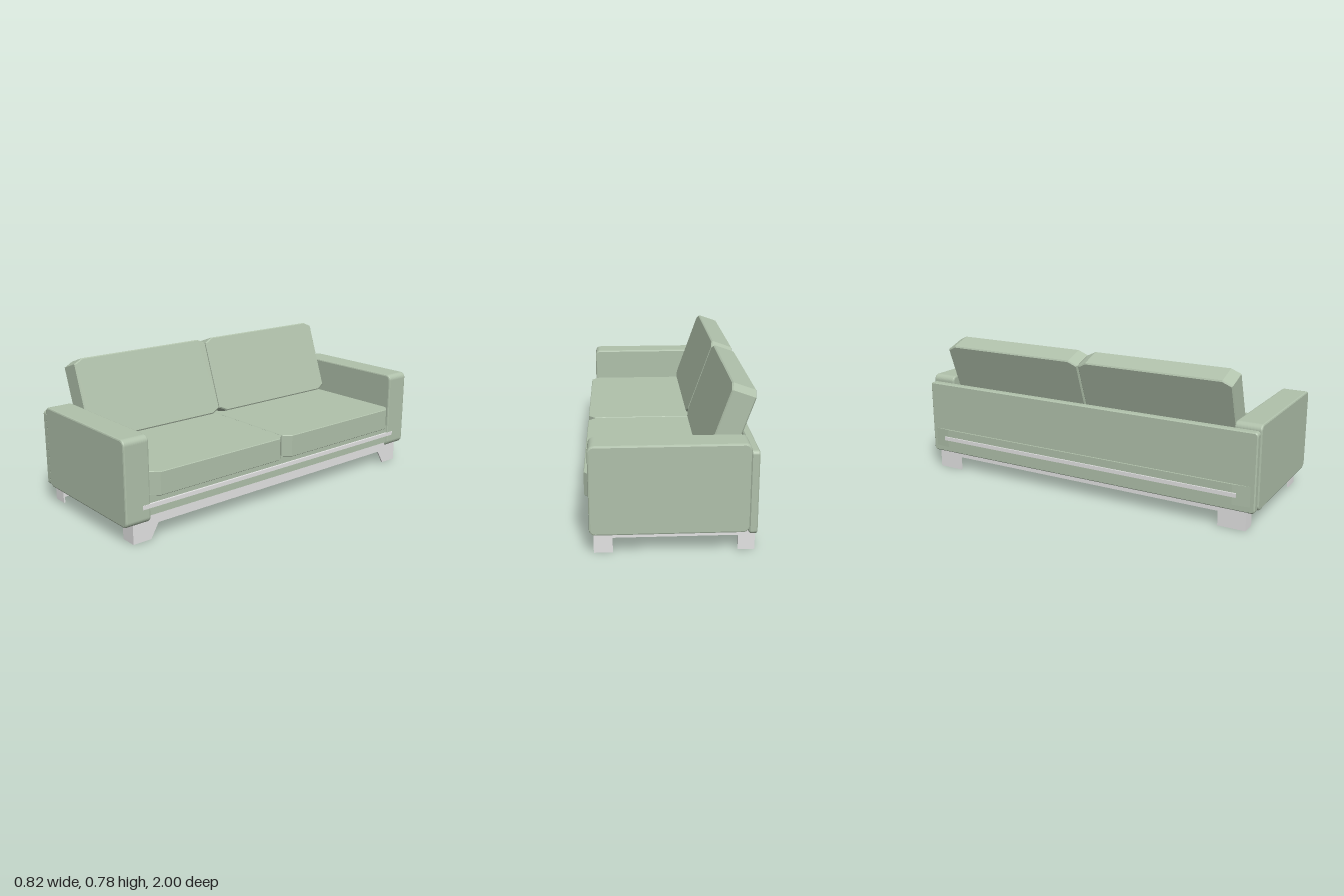
import * as THREE from 'three';

export function createModel() {
  const sofa = new THREE.Group();
  sofa.name = 'sofa';
  const fabric = new THREE.MeshStandardMaterial({ color: 0xb0c1ab });
  fabric.name = 'sage fabric';
  const metal = new THREE.MeshStandardMaterial({ color: 0xe4e4e4 });
  metal.name = 'light grey metal';

  const add = (name, geometry, material, parent = sofa) => {
    const mesh = new THREE.Mesh(geometry, material);
    mesh.name = name;
    parent.add(mesh);
    return mesh;
  };

  // Box given by its minimum and maximum on each axis
  const box = (name, material, [x0, x1], [y0, y1], [z0, z1]) => {
    const mesh = add(name, new THREE.BoxGeometry(x1 - x0, y1 - y0, z1 - z0), material);
    mesh.position.set((x0 + x1) / 2, (y0 + y1) / 2, (z0 + z1) / 2);
    return mesh;
  };

  const polygon = (points) => new THREE.Shape(points.map(([x, y]) => new THREE.Vector2(x, y)));

  // Slab centred on its own origin, thickness along z, with bevelled rims
  const slab = (shape, thickness, bevel, segments = 1) => {
    const geometry = new THREE.ExtrudeGeometry(shape, {
      depth: thickness - 2 * bevel, bevelEnabled: bevel > 0, bevelSize: bevel, bevelThickness: bevel,
      bevelOffset: -bevel, bevelSegments: segments, curveSegments: 5,
    });
    return geometry.translate(0, 0, -thickness / 2 + bevel);
  };

  const roundedRect = (w, h, r) => {
    const s = new THREE.Shape();
    const x = w / 2, y = h / 2;
    s.absarc(x - r, y - r, r, 0, Math.PI / 2);
    s.absarc(-x + r, y - r, r, Math.PI / 2, Math.PI);
    s.absarc(-x + r, -y + r, r, Math.PI, Math.PI * 1.5);
    s.absarc(x - r, -y + r, r, Math.PI * 1.5, Math.PI * 2);
    return s;
  };

  // Armrests, one sitting slightly higher than the other
  for (const [name, y, z] of [['leftArm', 0.316, 0.93], ['rightArm', 0.326, -0.928]]) {
    const arm = add(name, slab(roundedRect(0.743, 0.437, 0.03), 0.14, 0.008, 2), fabric);
    arm.position.set(0.0145, y, z);
  }

  // Back panel, and its lower strip with tapering ends
  const back = add('backPanel', slab(roundedRect(1.99, 0.41, 0.018), 0.04, 0.006), fabric);
  back.rotation.y = -Math.PI / 2;
  back.position.set(-0.375, 0.302, 0);
  const strip = add('backStrip', slab(polygon([
    [-0.38, -0.97], [-0.38, 0.97], [-0.395, 0.97], [-0.404, 0.88], [-0.404, -0.88], [-0.395, -0.97],
  ]), 0.105, 0), fabric);
  strip.rotation.x = Math.PI / 2;
  strip.position.y = 0.1825;

  // Seat frame, the lower underframe inside the base, its panel and end bars
  box('seatFrame', fabric, [-0.375, 0.378], [0.13, 0.235], [-0.88, 0.88]);
  box('underframe', fabric, [-0.36, 0.355], [0.112, 0.135], [-0.94, 0.94]);
  box('undersidePanel', metal, [-0.285, 0.285], [0.109, 0.12], [-0.85, 0.85]);
  for (const side of [1, -1]) {
    box('endBar', fabric, [-0.3, 0.285], [0.095, 0.12], [side * 0.87 - 0.02, side * 0.87 + 0.02]);
  }

  // Thin rails along the front and the back
  box('frontRail', metal, [0.36, 0.389], [0.172, 0.193], [-0.9, 0.905]);
  box('backRail', metal, [-0.411, -0.39], [0.172, 0.193], [-0.9, 0.9]);

  // Metal base of thin aprons whose ends turn down into feet, tapered in front
  const half = 0.952, t = 0.008;
  const longApron = (footEnd) => polygon([
    [-half, 0], [-footEnd, 0], [-0.805, 0.077], [0.805, 0.077], [footEnd, 0],
    [half, 0], [half, 0.13], [-half, 0.13],
  ]);
  for (const [name, x, footEnd] of [['frontApron', 0.363, 0.85], ['backApron', -0.386, 0.805]]) {
    const apron = add(name, slab(longApron(footEnd), t, 0), metal);
    apron.rotation.y = Math.PI / 2;
    apron.position.x = x;
  }
  const sideApron = polygon([
    [-0.39, 0], [-0.31, 0], [-0.31, 0.075], [0.278, 0.075], [0.278, 0],
    [0.367, 0], [0.367, 0.13], [-0.39, 0.13],
  ]);
  for (const [name, side] of [['leftApron', 1], ['rightApron', -1]]) {
    add(name, slab(sideApron, t, 0), metal).position.z = side * (half - t / 2);
  }

  // Cushions, one pair per seat
  const w = 0.426, cut = 0.042;
  const seatOutline = polygon([
    [-0.35, -w], [0.372, -w], [0.411, -w + cut], [0.411, w - cut], [0.372, w], [-0.35, w],
  ]);
  const h = 0.2175;
  const backOutline = polygon([
    [-w + 0.05, -h], [w - 0.05, -h], [w, -h + 0.025], [w, h - 0.025],
    [w - 0.05, h], [-w + 0.05, h], [-w, h - 0.025], [-w, -h + 0.025],
  ]);
  for (const [name, side] of [['left', 1], ['right', -1]]) {
    const z = 0.004 + side * 0.428;
    const seat = add(name + 'SeatCushion', slab(seatOutline, 0.121, 0.003), fabric);
    seat.rotation.x = Math.PI / 2;
    seat.position.set(0, 0.2915, z);

    // Leaning back cushion
    const lean = new THREE.Group();
    lean.name = name + 'BackCushion';
    const cushion = add(name + 'BackCushionBody', slab(backOutline, 0.122, 0.006), fabric, lean);
    cushion.rotation.y = Math.PI / 2;
    lean.rotation.z = THREE.MathUtils.degToRad(19.5);
    lean.position.set(-0.272, 0.552, z);
    sofa.add(lean);
  }
  return sofa;
}
